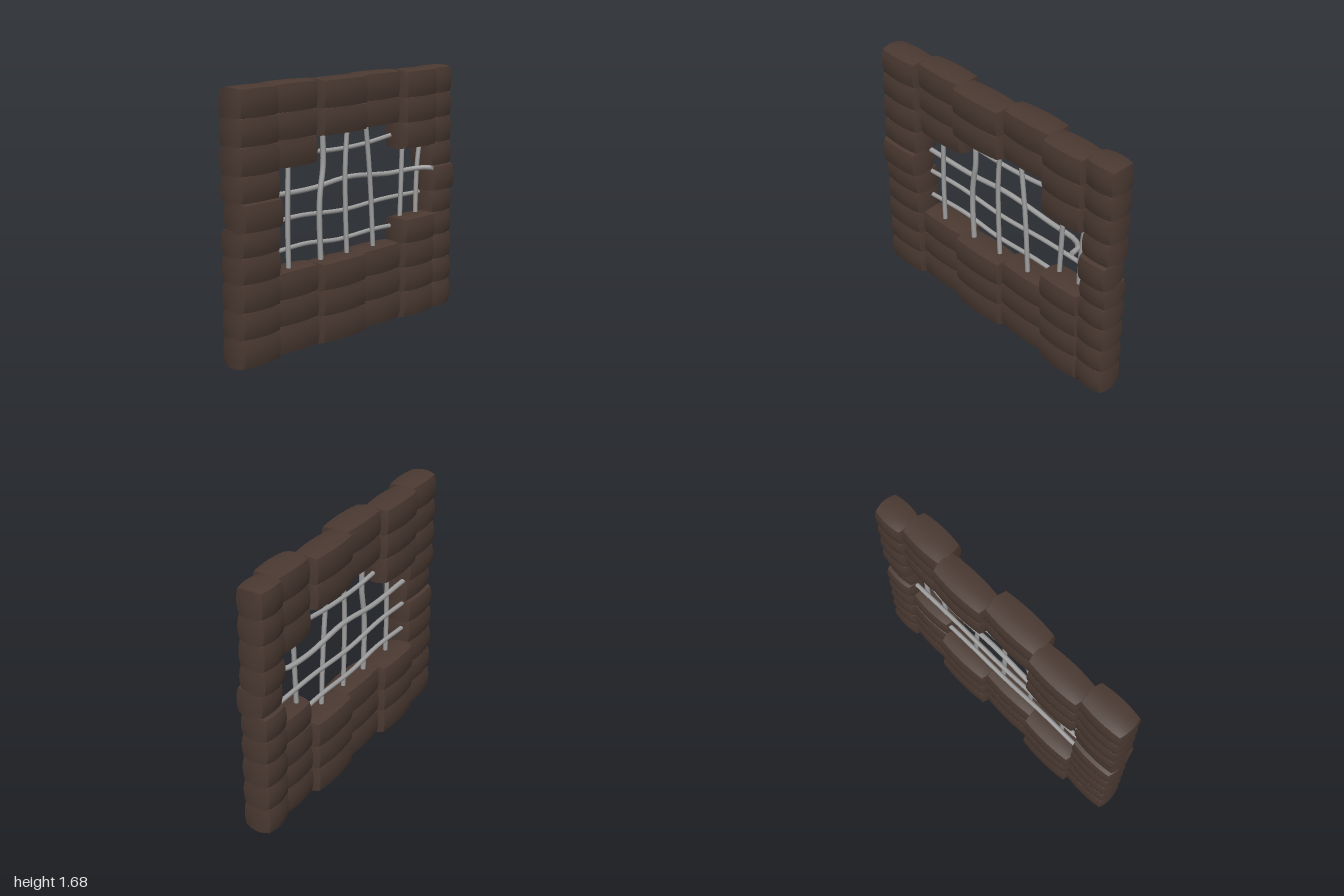
import * as THREE from 'three';

const stone = new THREE.MeshStandardMaterial({ color: 0x4b3a32 });
stone.name = 'dark brown stone';
const steel = new THREE.MeshStandardMaterial({ color: 0xa0a0a0 });
steel.name = 'grey steel';

// Column and row joints of the masonry
const zJoints = [1.0, 0.69, 0.31, -0.09, -0.48, -0.79, -1.0];
const yJoints = [0.01, 0.185, 0.35, 0.52, 0.68, 0.835, 1.0, 1.16, 1.33, 1.495, 1.665];
// How far each column is pushed sideways out of the wall plane
const columnShift = [0.008, -0.03, 0.016, -0.028, 0.022, -0.005];
// Rows from the bottom; a dot is a missing block
const layout = [
  '######', '######', '######', '#...##', '#....#',
  '#....#', '#....#', '##..##', '######', '######',
];

// Small repeatable variation between -1 and 1
const vary = (r, c, k) => Math.sin(r * 12.9 + c * 78.2 + k * 37.7);

// Pillow-shaped block: every face swells towards its middle
function makeBlock(w, h, d) {
  const g = new THREE.BoxGeometry(2, 2, 2, 6, 6, 6);
  const p = g.attributes.position;
  for (let i = 0; i < p.count; i++) {
    const x = p.getX(i), y = p.getY(i), z = p.getZ(i);
    const fx = 1 - x * x, fy = 1 - y * y, fz = 1 - z * z;
    p.setXYZ(i,
      x * (w / 2 - 0.018 + 0.011 * fy + 0.012 * fz),
      y * (h / 2 - 0.006 + 0.011 * fx + 0.003 * fz),
      z * (d / 2 - 0.010 + 0.014 * fx + 0.003 * fy));
  }
  g.computeVertexNormals();
  return g;
}

// Round bar through [x, y, z] points, with closed ends
function makeBar(name, points, radius) {
  const bar = new THREE.Group();
  bar.name = name;
  const curve = new THREE.CatmullRomCurve3(points.map((p) => new THREE.Vector3(...p)));
  bar.add(new THREE.Mesh(new THREE.TubeGeometry(curve, 24, radius, 8), steel));
  for (const t of [0, 1]) {
    const cap = new THREE.Mesh(new THREE.CircleGeometry(radius, 8), steel);
    const out = curve.getTangent(t).multiplyScalar(t ? 1 : -1);
    cap.quaternion.setFromUnitVectors(new THREE.Vector3(0, 0, 1), out);
    cap.position.copy(curve.getPoint(t));
    bar.add(cap);
  }
  bar.children.forEach((m, i) => { m.name = i ? 'barEnd' : 'barShaft'; });
  return bar;
}

export function createModel() {
  const model = new THREE.Group();
  model.name = 'brokenWallWithGrid';

  // Masonry
  const wall = new THREE.Group();
  wall.name = 'wall';
  layout.forEach((row, r) => {
    [...row].forEach((cell, c) => {
      if (cell !== '#') return;
      const h = yJoints[r + 1] - yJoints[r];
      const d = zJoints[c] - zJoints[c + 1];
      const block = new THREE.Mesh(makeBlock(0.2 + 0.006 * vary(r, c, 1), h + 0.006, d + 0.006), stone);
      block.name = 'stoneBlock';
      // Two loose blocks beside the opening jut out further
      const loose = (r === 5) ? 0.026 : (r === 3 && c === 4) ? 0.006 : 0;
      block.position.set(
        columnShift[c] + loose + 0.004 * vary(r, c, 2),
        (yJoints[r] + yJoints[r + 1]) / 2,
        (zJoints[c] + zJoints[c + 1]) / 2);
      wall.add(block);
    });
  });
  model.add(wall);

  // Bent reinforcement grid in the opening; points are [z, y]
  const grid = new THREE.Group();
  grid.name = 'steelGrid';
  const horizontals = [
    [[0.33, 1.22], [0.1, 1.205], [-0.2, 1.21], [-0.5, 1.24]],
    [[0.7, 0.82], [0.4, 0.83], [0, 0.805], [-0.4, 0.82], [-0.8, 0.815]],
    [[0.7, 0.63], [0.35, 0.645], [0.05, 0.62], [-0.3, 0.63], [-0.5, 0.625]],
  ];
  const verticals = [
    [[0.525, 0.5], [0.53, 0.8], [0.522, 1.18]],
    [[0.235, 0.5], [0.247, 0.8], [0.24, 0.95], [0.212, 1.12], [0.215, 1.35]],
    [[-0.012, 0.5], [0, 0.75], [0.004, 1.1], [-0.015, 1.35]],
    [[-0.27, 0.5], [-0.25, 0.82], [-0.23, 1.05], [-0.193, 1.35]],
    [[-0.545, 0.66], [-0.555, 0.9], [-0.565, 1.18]],
    [[-0.712, 0.66], [-0.718, 0.9], [-0.73, 1.05], [-0.753, 1.18]],
  ];
  for (const path of horizontals) {
    grid.add(makeBar('horizontalBar', path.map(([z, y]) => [-0.025, y, z]), 0.015));
  }
  verticals.forEach((path, i) => {
    grid.add(makeBar('verticalBar', path.map(([z, y]) => [0.005, y, z]), i === 1 ? 0.018 : 0.016));
  });
  // Snapped bar whose free end curls out of the wall
  grid.add(makeBar('snappedBar', [
    [-0.025, 0.99, 0.7], [-0.025, 0.985, 0.3], [-0.02, 1.015, -0.05],
    [-0.02, 0.985, -0.45], [0, 0.99, -0.66], [0.05, 0.997, -0.735], [0.12, 1.0, -0.75],
  ], 0.017));
  model.add(grid);
  return model;
}
